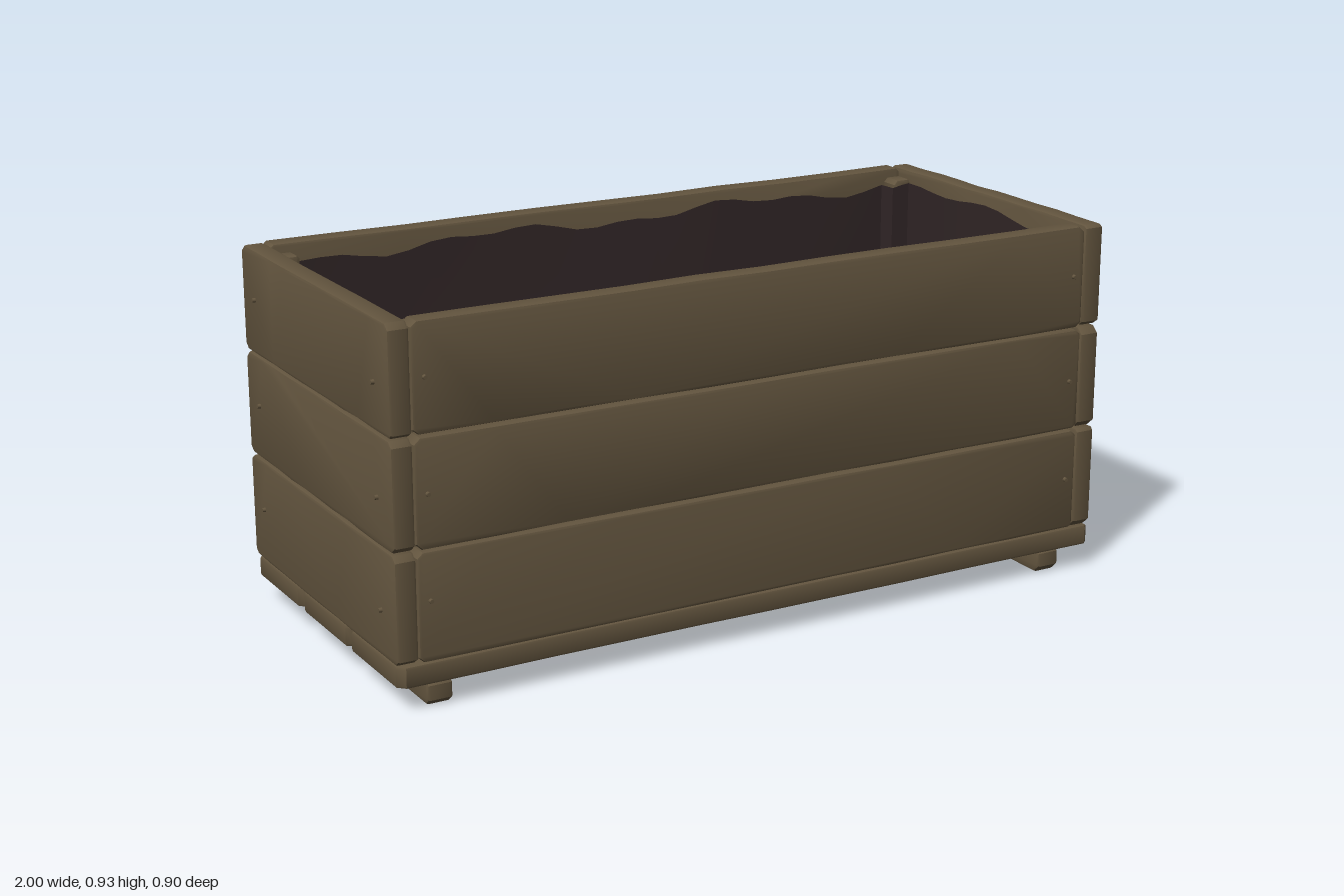
import * as THREE from 'three';
import { toCreasedNormals } from 'three/addons/utils/BufferGeometryUtils.js';

// small seeded generator for worn edges
let seed = 7;
const rand = () => {
  seed = (seed * 16807) % 2147483647;
  return seed / 2147483647;
};

// worn board: outline in its own plane with clipped corners and slightly wavy long edges
function boardGeometry(length, height, thickness, wear = 0.003) {
  const bevel = 0.007;
  const a = length / 2 - bevel, b = height / 2 - bevel;
  const steps = 10;
  const points = [];
  for (const side of [-1, 1]) {
    const cutA = 0.003 + rand() * 0.012, cutB = 0.003 + rand() * 0.012;
    points.push(new THREE.Vector2(side * a, side * (b - cutA)));
    for (let i = 0; i <= steps; i++) {
      const t = i / steps;
      const x = THREE.MathUtils.lerp(a - cutA, -a + cutB, t);
      points.push(new THREE.Vector2(side * x, side * (b - rand() * wear)));
    }
    points.push(new THREE.Vector2(-side * a, side * (b - cutB)));
  }
  const geometry = new THREE.ExtrudeGeometry(new THREE.Shape(points), {
    depth: thickness - 2 * bevel, bevelThickness: bevel, bevelSize: bevel, bevelSegments: 2,
  });
  geometry.translate(0, 0, bevel - thickness / 2);
  return toCreasedNormals(geometry, 0.6);
}

// cloth lining: rows of a notched loop running down the walls and across the floor
function liningGeometry() {
  const corner = [[0.922, 0.325], [0.872, 0.328], [0.868, 0.378]];
  const flip = (p, sx, sz) => p.map(([x, z]) => [x * sx, z * sz]);
  const outline = [
    ...flip(corner, 1, 1), ...flip(corner, -1, 1).reverse(),
    ...flip(corner, -1, -1), ...flip(corner, 1, -1).reverse(),
  ];
  const loop = [];
  outline.forEach(([x, z], i) => {
    const [nx, nz] = outline[(i + 1) % outline.length];
    const n = Math.max(2, Math.round(Math.hypot(nx - x, nz - z) / 0.06));
    for (let k = 0; k < n; k++) loop.push([x + (nx - x) * k / n, z + (nz - z) * k / n]);
  });
  // each row: height, scale towards the middle, share of the inward sag
  const rows = [[0.885, 1, 0], [0.72, 1, 0.25], [0.5, 1, 0.6], [0.3, 0.995, 0.9],
    [0.16, 0.985, 1], [0.13, 0.96, 1], [0.125, 0.5, 0.5], [0.125, 0, 0]];
  const position = [], index = [];
  rows.forEach(([y, scale, sag], r) => {
    loop.forEach(([x, z], i) => {
      const wave = r === 0 ? 0.012 * Math.sin(x * 9 + z * 5) + 0.008 * Math.sin(x * 23 - z * 17) : 0;
      const inX = Math.abs(x) > 0.9 ? 0.015 * Math.cos(z * 4.5) : 0;
      const inZ = Math.abs(z) > 0.35 ? 0.045 * Math.cos(x * 1.75) : 0;
      position.push((x - Math.sign(x) * inX * sag) * scale, y + wave,
        (z - Math.sign(z) * inZ * sag) * scale);
      if (r === 0) return;
      const n = loop.length, j = (i + 1) % n;
      const p = (r - 1) * n, q = r * n;
      index.push(p + i, p + j, q + i, p + j, q + j, q + i);
    });
  });
  const geometry = new THREE.BufferGeometry();
  geometry.setAttribute('position', new THREE.Float32BufferAttribute(position, 3));
  geometry.setIndex(index);
  return toCreasedNormals(geometry, 0.8);
}

export function createModel() {
  const model = new THREE.Group();
  const wood = new THREE.MeshStandardMaterial({ color: 0x62543e });
  wood.name = 'weathered wood';
  const cloth = new THREE.MeshStandardMaterial({ color: 0x302526, side: THREE.DoubleSide });
  cloth.name = 'dark cloth';

  const add = (name, geometry, x, y, z, material = wood) => {
    const mesh = new THREE.Mesh(geometry, material);
    mesh.name = name;
    mesh.position.set(x, y, z);
    model.add(mesh);
    return mesh;
  };

  // three tiers of wall boards
  const tiers = [[0.118, 0.388], [0.391, 0.659], [0.662, 0.93]];
  const nailGeometry = new THREE.CylinderGeometry(0.005, 0.007, 0.016, 10);
  for (const [low, high] of tiers) {
    const y = (low + high) / 2, height = high - low;
    for (const side of [-1, 1]) {
      add('longBoard', boardGeometry(1.868, height, 0.055), 0, y, side * 0.4135);
      add('endBoard', boardGeometry(0.884, height, 0.054), side * 0.963, y, 0).rotation.y = Math.PI / 2;

      // nail heads near both ends of each board
      for (const end of [-1, 1]) {
        const frontNail = add('nail', nailGeometry, end * 0.903,
          y + 0.012 + (rand() - 0.5) * 0.03, side * 0.441);
        frontNail.rotation.x = side * Math.PI / 2;
        const endNail = add('nail', nailGeometry, side * 0.99,
          y - 0.005 - end * 0.012, end * 0.36);
        endNail.rotation.z = -side * Math.PI / 2;
      }
    }
  }

  // bottom boards
  for (const z of [-0.2925, 0.002, 0.2985]) {
    add('floorBoard', boardGeometry(1.975, 0.284, 0.054, 0.004), 0, 0.09, z).rotation.x = -Math.PI / 2;
  }

  // runners under the floor and posts in the corners
  for (const side of [-1, 1]) {
    add('runner', boardGeometry(0.842, 0.064, 0.064, 0.001), side * 0.876, 0.032, 0).rotation.y = Math.PI / 2;
    for (const end of [-1, 1]) {
      add('cornerPost', boardGeometry(0.79, 0.055, 0.055, 0.001), side * 0.906, 0.512, end * 0.359)
        .rotation.z = Math.PI / 2;
    }
  }

  add('lining', liningGeometry(), 0, 0, 0, cloth);
  return model;
}
